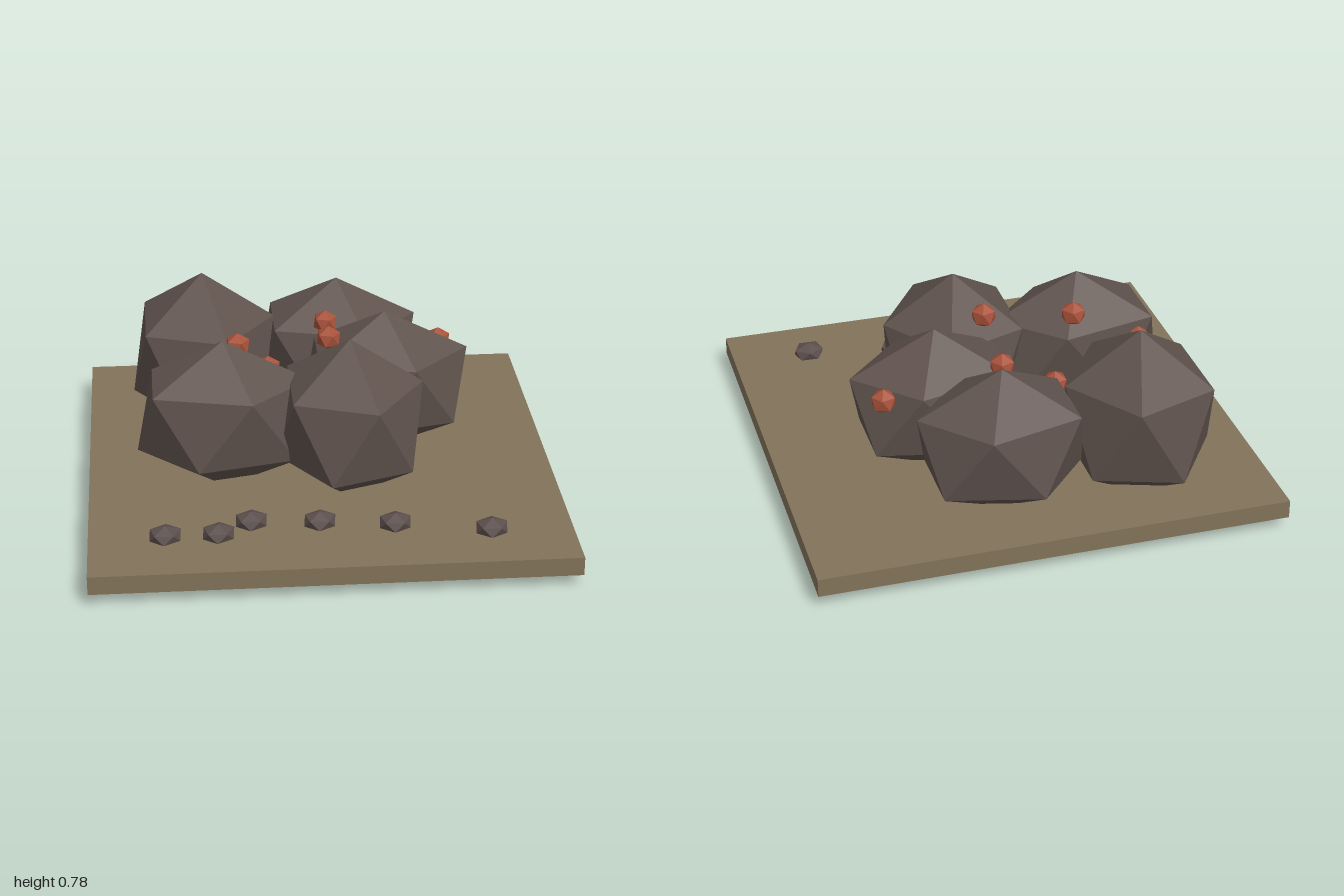
import * as THREE from 'three';

const material = (name, color) => {
  const m = new THREE.MeshStandardMaterial({ color });
  m.name = name;
  return m;
};

export function createModel() {
  const group = new THREE.Group();
  const earth = material('earth', 0x82735a);
  const stone = material('stone', 0x5f524d);
  const pebbleStone = material('pebble stone', 0x5b4f4d);
  const ember = material('ember', 0xa8523a);

  // Faceted stone: icosahedron standing on a corner, one upper corner towards +x
  const faceted = new THREE.IcosahedronGeometry(1, 0);
  faceted.rotateZ(-Math.atan(2 / (1 + Math.sqrt(5))));

  const addStone = (name, mat, [x, y, z], [rx, ry, rz], turn = 0) => {
    const mesh = new THREE.Mesh(faceted, mat);
    mesh.name = name;
    mesh.position.set(x, y, z);
    mesh.scale.set(rx, ry, rz);
    mesh.rotation.y = turn;
    group.add(mesh);
  };

  // Square ground slab
  const slab = new THREE.Mesh(new THREE.BoxGeometry(2, 0.08, 2), earth);
  slab.name = 'groundSlab';
  slab.position.y = 0.092;
  group.add(slab);

  // Boulder heap: position, radii
  [
    [[-0.48, 0.392, -0.55], [0.358, 0.392, 0.376]],
    [[0.128, 0.392, -0.597], [0.4, 0.33, 0.315]],
    [[0.307, 0.392, -0.2], [0.41, 0.33, 0.3]],
    [[0.12, 0.392, 0.18], [0.35, 0.37, 0.38]],
    [[-0.415, 0.392, 0.1], [0.417, 0.345, 0.294]],
  ].forEach(([p, r], i) => addStone(`boulder${i + 1}`, stone, p, r));

  // Glowing embers between the boulders
  [
    [-0.2, 0.43, -0.287],
    [0.06, 0.605, -0.372],
    [0.567, 0.51, -0.36],
    [-0.343, 0.635, -0.083],
    [-0.642, 0.47, -0.083],
    [0.048, 0.67, -0.05],
  ].forEach((p, i) => addStone(`ember${i + 1}`, ember, p, [0.057, 0.055, 0.057]));

  // Row of flat pebbles along the front
  [
    [-0.684, 0.71], [-0.465, 0.71], [-0.326, 0.613],
    [-0.043, 0.635], [0.267, 0.672], [0.658, 0.747],
  ].forEach(([x, z], i) =>
    addStone(`pebble${i + 1}`, pebbleStone, [x, 0.15, z], [0.075, 0.042, 0.067], 0.25));

  return group;
}
